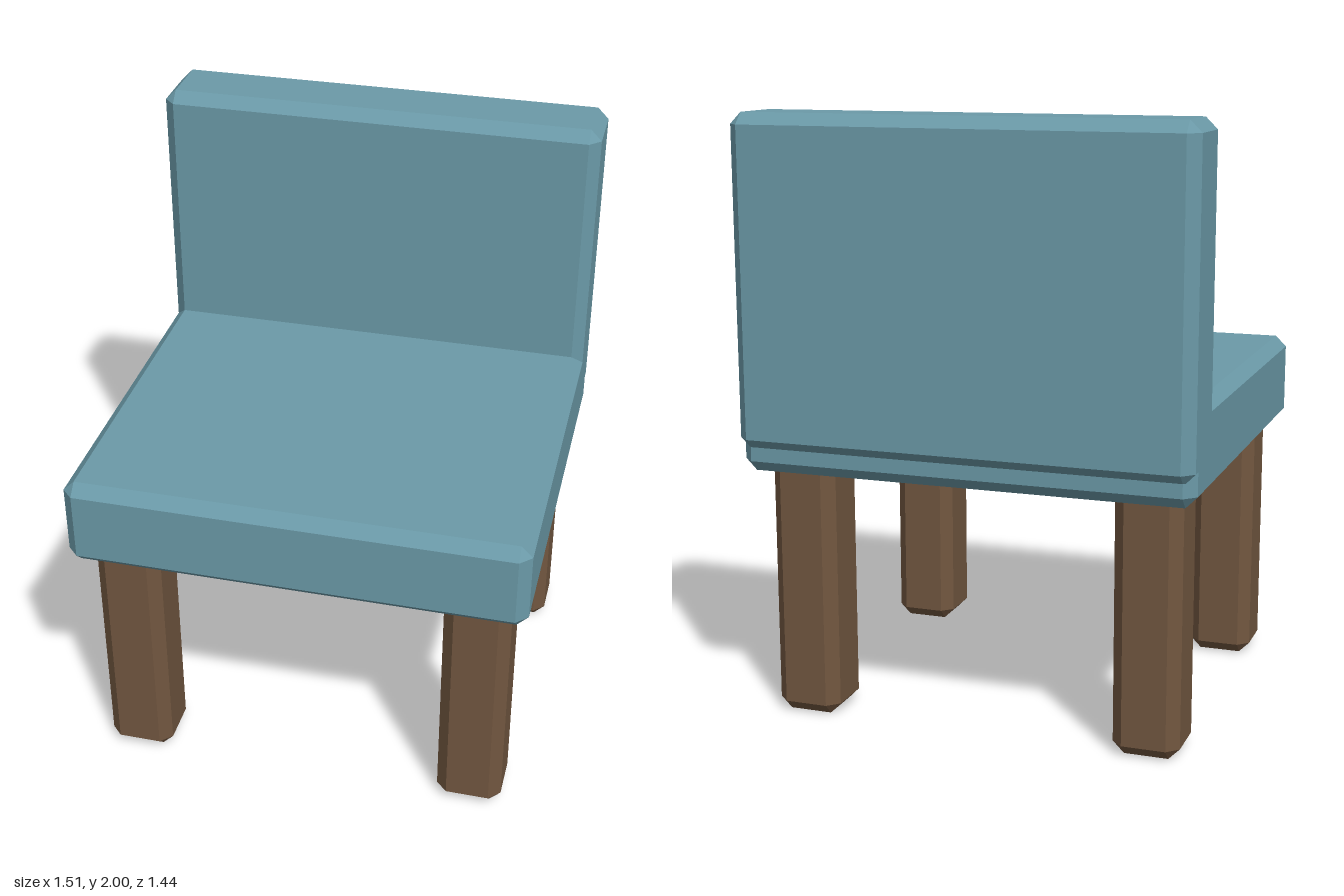
import * as THREE from 'three';
import { ConvexGeometry } from 'three/addons/geometries/ConvexGeometry.js';

const CHAMFER = 0.0375;

// Box between two corners with every edge and corner cut flat
function chamferBox(name, min, max, material) {
  const centre = min.map((v, i) => (v + max[i]) / 2);
  const half = min.map((v, i) => (max[i] - v) / 2);
  const points = [];
  for (const sx of [-1, 1]) for (const sy of [-1, 1]) for (const sz of [-1, 1]) {
    for (let full = 0; full < 3; full++) {
      const p = [sx, sy, sz].map((s, i) => s * (half[i] - (i === full ? 0 : CHAMFER)));
      points.push(new THREE.Vector3(...p));
    }
  }
  const mesh = new THREE.Mesh(new ConvexGeometry(points), material);
  mesh.name = name;
  mesh.position.set(...centre);
  return mesh;
}

export function createModel() {
  const group = new THREE.Group();
  group.name = 'chair';
  const fabric = new THREE.MeshStandardMaterial({ color: 0x6b9aa8, flatShading: true });
  const wood = new THREE.MeshStandardMaterial({ color: 0x725740, flatShading: true });

  // Cushioned seat and backrest, flush at the sides
  group.add(chamferBox('seat', [-0.755, 0.845, -0.69], [0.755, 1.15, 0.72], fabric));
  group.add(chamferBox('backrest', [-0.755, 0.922, -0.72], [0.755, 2, -0.455], fabric));

  // Four legs, tops sunk into the seat
  const w = 0.11;
  for (const [row, z] of [['front', 0.53], ['back', -0.5]]) {
    for (const [side, x] of [['Left', 0.585], ['Right', -0.585]]) {
      group.add(chamferBox(`${row}${side}Leg`, [x - w, 0, z - w], [x + w, 0.92, z + w], wood));
    }
  }
  return group;
}
